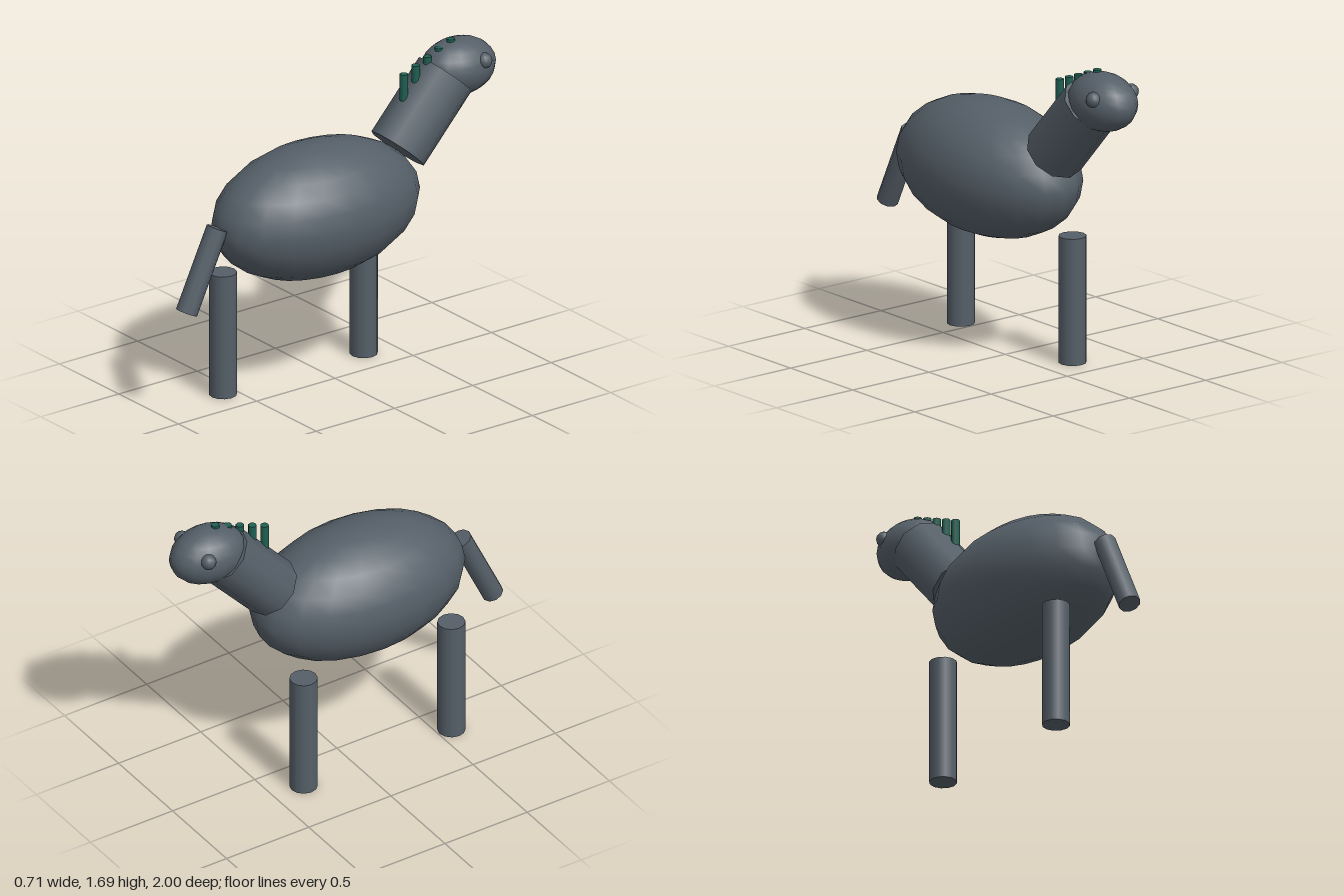
import * as THREE from 'three';

export function createModel() {
  const model = new THREE.Group();
  const hide = new THREE.MeshStandardMaterial({ color: 0x555f68 });
  hide.name = 'slate hide';
  const teal = new THREE.MeshStandardMaterial({ color: 0x1f5f52 });
  teal.name = 'dark teal mane';

  const add = (name, geometry, material, x, y, z) => {
    const mesh = new THREE.Mesh(geometry, material);
    mesh.name = name;
    mesh.position.set(x, y, z);
    model.add(mesh);
    return mesh;
  };
  const ellipsoid = (name, rx, ry, rz, w, h, x, y, z) =>
    add(name, new THREE.SphereGeometry(1, w, h).scale(rx, ry, rz), hide, x, y, z);
  // Cylinder whose base centre sits at (x, y, z), leaning towards -z by an angle in degrees
  const rod = (name, radius, length, sides, material, x, y, z, lean = 0) => {
    const geometry = new THREE.CylinderGeometry(radius, radius, length, sides);
    geometry.translate(0, length / 2, 0);
    const mesh = add(name, geometry, material, x, y, z);
    mesh.rotation.x = -THREE.MathUtils.degToRad(lean);
    return mesh;
  };

  // Trunk and head
  ellipsoid('body', 0.355, 0.355, 0.615, 20, 12, 0, 0.972, 0.125);
  ellipsoid('head', 0.155, 0.152, 0.215, 16, 12, 0, 1.525, -0.785);
  rod('neck', 0.16, 0.45, 10, hide, 0, 1.165, -0.4, 42.5);

  // Eyes
  for (const side of [-1, 1]) {
    ellipsoid(side > 0 ? 'leftEye' : 'rightEye', 0.041, 0.041, 0.041, 12, 8, side * 0.122, 1.573, -0.862);
  }

  // Legs
  rod('frontLeg', 0.072, 0.672, 12, hide, -0.18, 0, -0.321);
  rod('rearLeg', 0.072, 0.672, 12, hide, -0.18, 0, 0.578);

  // Tail
  rod('tail', 0.057, 0.46, 10, hide, 0, 0.6, 0.948, 25.3);

  // Mane tufts, rising towards the head
  for (let i = 0; i < 5; i++) {
    rod('maneTuft', 0.022, 0.15, 8, teal, 0, 1.415 + i * 0.03, -0.44 - i * 0.075);
  }
  return model;
}
